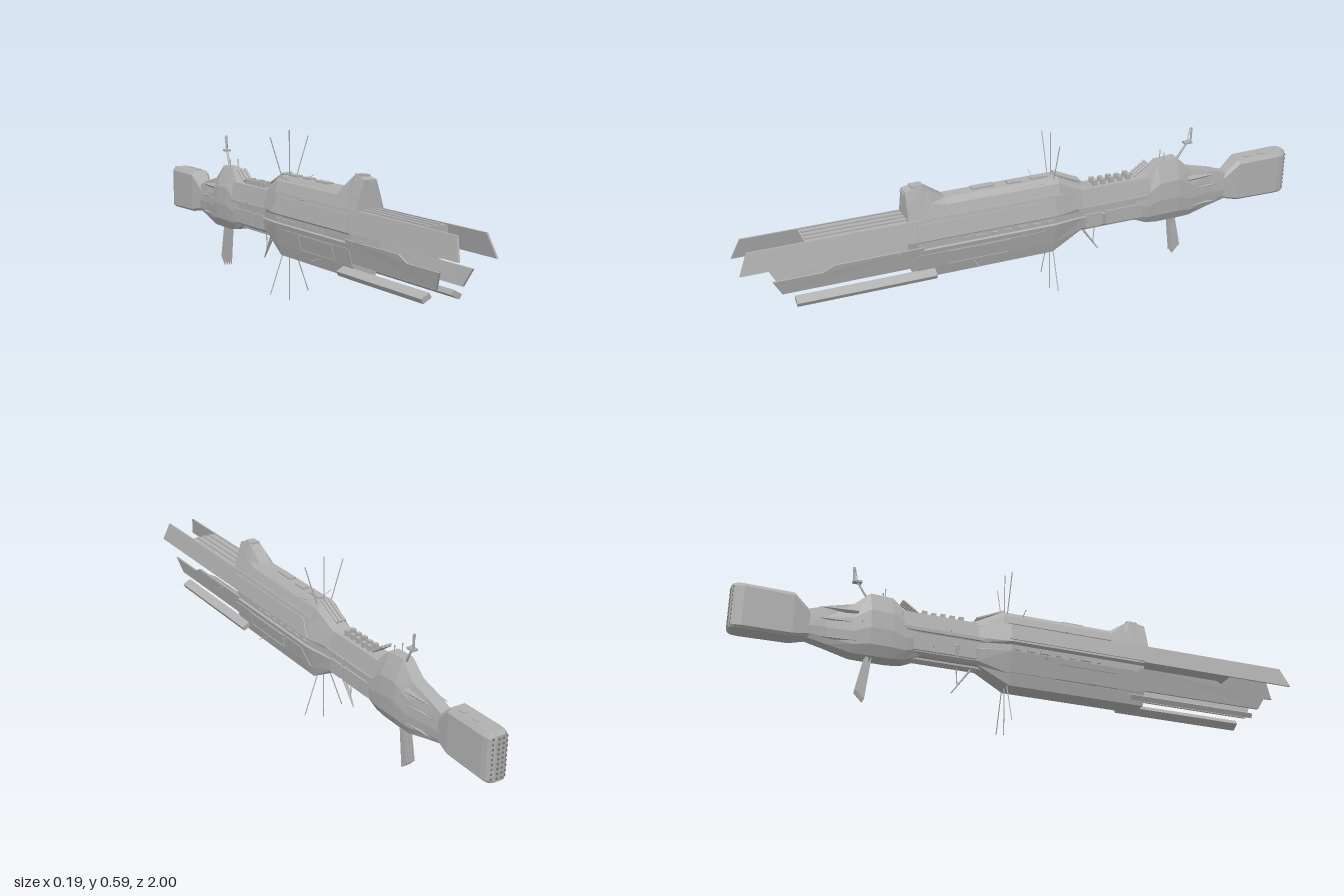
import * as THREE from 'three';

export function createModel() {
  const root = new THREE.Group();
  root.name = 'starship';
  const hullGrey = new THREE.MeshStandardMaterial({ color: 0xb0b0b0 });
  hullGrey.name = 'hull grey';
  const darkGrey = new THREE.MeshStandardMaterial({ color: 0x7c7c7c });
  darkGrey.name = 'recess grey';

  let seed = 7;
  const rand = () => (seed = (seed * 16807) % 2147483647) / 2147483647;

  function add(name, geo, mat = hullGrey) {
    const flat = geo.index ? geo.toNonIndexed() : geo;
    flat.computeVertexNormals();
    const mesh = new THREE.Mesh(flat, mat);
    mesh.name = name;
    root.add(mesh);
  }

  // Copy a geometry to the other side of x = 0, keeping faces outward
  function mirrored(geo) {
    const g = geo.index ? geo.toNonIndexed() : geo.clone();
    const p = g.attributes.position, a = new THREE.Vector3(), b = new THREE.Vector3();
    for (let i = 0; i < p.count; i += 3) {
      a.fromBufferAttribute(p, i + 1);
      b.fromBufferAttribute(p, i + 2);
      p.setX(i, -p.getX(i));
      p.setXYZ(i + 1, -b.x, b.y, b.z);
      p.setXYZ(i + 2, -a.x, a.y, a.z);
    }
    return g;
  }
  function pair(name, geo) {
    add(name + 'Left', geo);
    add(name + 'Right', mirrored(geo));
  }

  // Closed symmetric loft; sections run front to back as [z, half profile from bottom to top]
  function loft(name, sections) {
    const out = [];
    const rings = sections.map(([z, half]) => [
      ...half.map(([x, y]) => [x, y, z]),
      ...half.slice().reverse().map(([x, y]) => [-x, y, z])]);
    const n = rings[0].length;
    const tri = (a, b, c) => out.push(...a, ...b, ...c);
    for (let s = 0; s < rings.length - 1; s++) for (let i = 0; i < n; i++) {
      const j = (i + 1) % n, r = rings[s], q = rings[s + 1];
      tri(r[i], q[i], q[j]);
      tri(r[i], q[j], r[j]);
    }
    [rings[0], rings[rings.length - 1]].forEach((r, end) => {
      const mid = [0, (r[0][1] + r[n / 2 - 1][1]) / 2, r[0][2]];
      for (let i = 0; i < n; i++) {
        const j = (i + 1) % n;
        if (end) tri(mid, r[j], r[i]); else tri(mid, r[i], r[j]);
      }
    });
    const g = new THREE.BufferGeometry();
    g.setAttribute('position', new THREE.Float32BufferAttribute(out, 3));
    add(name, g);
  }

  // Half width of the hull at a height
  const widths = [[0.16, 0.036], [0.2, 0.045], [0.28, 0.063], [0.315, 0.066], [0.385, 0.051], [0.43, 0.037]];
  function hullWidth(y) {
    const i = Math.max(1, widths.findIndex(([top]) => y <= top));
    const [y0, w0] = widths[i - 1], [y1, w1] = widths[i];
    return w0 + (w1 - w0) * (y - y0) / (y1 - y0);
  }
  // Leaning plate outlined in [z, y], following the hull's side slope
  function sidePlate(name, outline, thick, offset = 0, width = hullWidth) {
    const shape = new THREE.Shape(outline.map(([z, y]) => new THREE.Vector2(-z, y)));
    const g = new THREE.ExtrudeGeometry(shape, { depth: thick, bevelEnabled: false });
    g.rotateY(Math.PI / 2);
    const p = g.attributes.position;
    for (let i = 0; i < p.count; i++) p.setX(i, p.getX(i) + offset + width(p.getY(i)));
    pair(name, g);
  }
  const rect = (z0, z1, y0, y1) => [[z0, y0], [z0, y1], [z1, y1], [z1, y0]];

  function rodGeo(a, b, r0, r1 = r0) {
    const A = new THREE.Vector3(...a), B = new THREE.Vector3(...b), d = B.clone().sub(A);
    const g = new THREE.CylinderGeometry(r1, r0, d.length(), 6);
    g.applyQuaternion(new THREE.Quaternion().setFromUnitVectors(new THREE.Vector3(0, 1, 0), d.normalize()));
    const m = A.add(B).multiplyScalar(0.5);
    return g.translate(m.x, m.y, m.z);
  }
  const rod = (name, a, b, r0, r1, mat) => add(name, rodGeo(a, b, r0, r1), mat);
  const box = (name, x, y, z, w, h, d) => add(name, new THREE.BoxGeometry(w, h, d).translate(x, y, z));

  // Main hull with a side slot, narrowing into the neck
  const body = [[0.035, 0.163], [0.045, 0.2], [0.063, 0.278], [0.056, 0.281], [0.056, 0.305], [0.066, 0.312], [0.051, 0.385]];
  const neck = [[0.028, 0.222], [0.038, 0.232], [0.044, 0.275], [0.041, 0.28], [0.041, 0.3], [0.045, 0.315], [0.032, 0.375]];
  loft('mainHull', [[0.42, body], [-0.07, body], [-0.18, neck], [-0.44, neck]]);

  // Superstructure and bridge tower
  const deck = (z, base, mid, midY, top, topY) => [z, [[base, 0.38], [mid, midY], [top, topY]]];
  loft('superstructure', [
    deck(0.445, 0.051, 0.037, 0.43, 0.022, 0.478), deck(0.39, 0.05, 0.036, 0.43, 0.02, 0.49),
    deck(0.365, 0.05, 0.035, 0.43, 0.02, 0.475), deck(0.31, 0.05, 0.038, 0.418, 0.022, 0.437),
    deck(-0.09, 0.05, 0.038, 0.418, 0.024, 0.437)]);
  loft('superstructureSlope', [[-0.09, [[0.05, 0.36], [0.038, 0.418], [0.024, 0.437]]],
    [-0.18, [[0.036, 0.36], [0.032, 0.375], [0.02, 0.388]]], [-0.22, [[0.034, 0.36], [0.03, 0.372], [0.018, 0.376]]]]);

  // Engine bulge, boom and tail block
  const sec = (z, b, t, w, wt, wb) => [z, [[wb, b], [w * 0.9, b + (t - b) * 0.15], [w, b + (t - b) * 0.4], [w * 0.92, b + (t - b) * 0.68], [wt, t]]];
  loft('engineBulge', [sec(-0.38, 0.222, 0.36, 0.042, 0.03, 0.028), sec(-0.43, 0.2, 0.375, 0.047, 0.026, 0.028),
    sec(-0.475, 0.195, 0.42, 0.05, 0.018, 0.028), sec(-0.55, 0.195, 0.424, 0.05, 0.018, 0.028),
    sec(-0.605, 0.195, 0.372, 0.042, 0.022, 0.025), sec(-0.69, 0.215, 0.35, 0.03, 0.022, 0.02),
    sec(-0.765, 0.232, 0.325, 0.026, 0.02, 0.018)]);
  const tail = (z, b, t, w) => [z, [[w * 0.8, b], [w, b + 0.008], [w, t - 0.015], [w * 0.7, t]]];
  loft('tailBlock', [tail(-0.745, 0.232, 0.326, 0.026), tail(-0.8, 0.22, 0.376, 0.036), tail(-0.96, 0.218, 0.378, 0.038),
    tail(-0.98, 0.218, 0.378, 0.035), tail(-0.992, 0.22, 0.376, 0.028), tail(-0.998, 0.223, 0.373, 0.017)]);
  for (let r = 0; r < 9; r++) for (const x of [-0.024, -0.008, 0.008, 0.024]) {
    const z = Math.abs(x) > 0.02 ? -0.993 : -0.998;
    rod('tailNozzle', [x, 0.234 + r * 0.016, z + 0.006], [x, 0.234 + r * 0.016, z - 0.002], 0.0045, 0.0045, darkGrey);
  }
  for (const z of [-0.84, -0.9]) box('tailHatch', 0.012, 0.378, z, 0.014, 0.004, 0.025);

  // Forward prongs
  sidePlate('upperProng', [[1, 0.315], [0.97, 0.385], [0.4, 0.385], [0.4, 0.315]], 0.006, -0.004);
  sidePlate('middleProng', [[0.9, 0.27], [0.87, 0.215], [0.4, 0.215], [0.4, 0.29], [0.7, 0.29], [0.74, 0.27]], 0.007, -0.006);
  pair('lowerProng', new THREE.BoxGeometry(0.033, 0.017, 0.47).rotateZ(-0.5).translate(0.053, 0.183, 0.595));
  const deckSlab = [[0.052, 0.34], [0.049, 0.382]];
  loft('prongDeck', [[0.785, deckSlab], [0.41, deckSlab]]);
  for (const x of [-0.025, 0, 0.025]) box('deckRidge', x, 0.384, 0.6, 0.01, 0.006, 0.36);

  // Armour plates and framed panels on the flanks
  sidePlate('upperArmour', [[0.42, 0.318], [0.42, 0.372], [-0.04, 0.372], [-0.08, 0.318]], 0.004, 0.002);
  sidePlate('lowerArmour', [[0.42, 0.205], [0.42, 0.262], [-0.03, 0.262], [-0.07, 0.205]], 0.003, 0.001);
  for (const y of [0.205, 0.255]) sidePlate('panelFrame', rect(0.32, 0.1, y, y + 0.005), 0.003, 0.004);
  for (const z of [0.32, 0.1]) sidePlate('panelFrame', rect(z, z - 0.006, 0.205, 0.26), 0.003, 0.004);
  sidePlate('deckLine', rect(0.3, -0.08, 0.383, 0.388), 0.004);
  const neckWidth = () => 0.041;
  sidePlate('neckPanel', rect(-0.19, -0.25, 0.235, 0.285), 0.006, 0, neckWidth);
  sidePlate('neckPanel', rect(-0.265, -0.405, 0.235, 0.285), 0.006, 0, neckWidth);
  sidePlate('neckRail', rect(-0.16, -0.43, 0.303, 0.315), 0.009, 0, neckWidth);
  for (let i = 0; i < 7; i++)
    pair('slotBlock', new THREE.BoxGeometry(0.008, 0.012, 0.012 + rand() * 0.03).translate(0.058, 0.291, 0.25 - i * 0.05));

  // Triangular fins around the boom
  for (const [y, z] of [[0.34, -0.655], [0.3, -0.655], [0.235, -0.655]]) {
    const fin = new THREE.ConeGeometry(0.014, 0.13, 4).rotateX(-Math.PI / 2).scale(0.8, 0.9, 1);
    pair('boomSpike', fin.translate(0.03, y, z));
  }

  // Roof equipment
  for (const x of [-0.014, 0, 0.014]) {
    rod('slopeTube', [x, 0.443, -0.085], [x, 0.4, -0.18], 0.005);
    rod('launchTube', [x, 0.382, -0.385], [x, 0.42, -0.44], 0.005);
  }
  for (let i = 0; i < 5; i++) for (const x of [-0.012, 0.012])
    box('roofBlock', x, 0.382, -0.235 - i * 0.032, 0.013, 0.014 + rand() * 0.014, 0.016);
  for (const [z, d] of [[0.17, 0.08], [0.06, 0.05], [-0.03, 0.06]])
    box('roofHatch', -0.005 + rand() * 0.01, 0.439, z, 0.024, 0.008, d);
  box('towerCap', 0, 0.488, 0.4, 0.032, 0.006, 0.04);
  box('towerSensor', 0, 0.468, 0.447, 0.03, 0.01, 0.006);
  for (const x of [-0.015, 0.015]) rod('bulgeMast', [x, 0.41, -0.5], [x, 0.45, -0.5], 0.002);

  // Signal mast on the bulge
  rod('signalMast', [0.008, 0.41, -0.55], [0.015, 0.475, -0.59], 0.005, 0.003);
  box('signalArm', 0.015, 0.475, -0.59, 0.02, 0.007, 0.03);
  rod('signalTip', [0.019, 0.475, -0.6], [0.019, 0.53, -0.602], 0.004);
  rod('signalTip', [0.012, 0.475, -0.59], [0.012, 0.525, -0.6], 0.0015);

  // Keel equipment
  for (const x of [-0.012, 0, 0.012]) rod('keelPipe', [x, 0.216, -0.15], [x, 0.216, -0.4], 0.006);
  for (const x of [-0.006, 0.006]) rod('keelProbe', [x, 0.22, -0.19], [0, 0.12, -0.26], 0.004, 0.002);
  rod('keelProbeBrace', [0, 0.22, -0.245], [0, 0.15, -0.24], 0.002);

  // Hanging radiator fins
  const blade = new THREE.Shape([[0.535, 0.2], [0.58, 0.075], [0.553, 0.045], [0.545, 0.2]].map(([z, y]) => new THREE.Vector2(z, y)));
  blade.setFromPoints([[0.54, 0.2], [0.555, 0.2], [0.582, 0.075], [0.553, 0.045]].map(([z, y]) => new THREE.Vector2(z, y)));
  for (const x of [-0.015, -0.006, 0.003, 0.012]) {
    const g = new THREE.ExtrudeGeometry(blade, { depth: 0.003, bevelEnabled: false });
    add('radiatorFin', g.rotateY(Math.PI / 2).translate(x - 0.0015, 0, 0));
  }

  // Long antennae in a ring, and short side pins
  rod('topAntenna', [0, 0.43, -0.075], [0, 0.592, -0.075], 0.0018);
  rod('bottomAntenna', [0, 0.17, -0.075], [0, 0, -0.075], 0.0018);
  pair('upperAntenna', rodGeo([0.028, 0.43, -0.075], [0.074, 0.57, -0.075], 0.0018));
  pair('lowerAntenna', rodGeo([0.024, 0.17, -0.075], [0.075, 0.026, -0.075], 0.0018));
  for (const [x, y, z, reach] of [[0.04, 0.38, 0.13, 0.072], [0.05, 0.295, 0.49, 0.095], [0.05, 0.265, 0.05, 0.086],
    [0.035, 0.195, 0.22, 0.083], [0.03, 0.425, -0.02, 0.064], [0.03, 0.32, -0.28, 0.062], [0.03, 0.25, -0.34, 0.064], [0.03, 0.3, -0.58, 0.06]])
    pair('sidePin', rodGeo([x, y, z], [reach, y + (y > 0.4 ? 0.015 : 0), z], 0.0012));

  return root;
}
